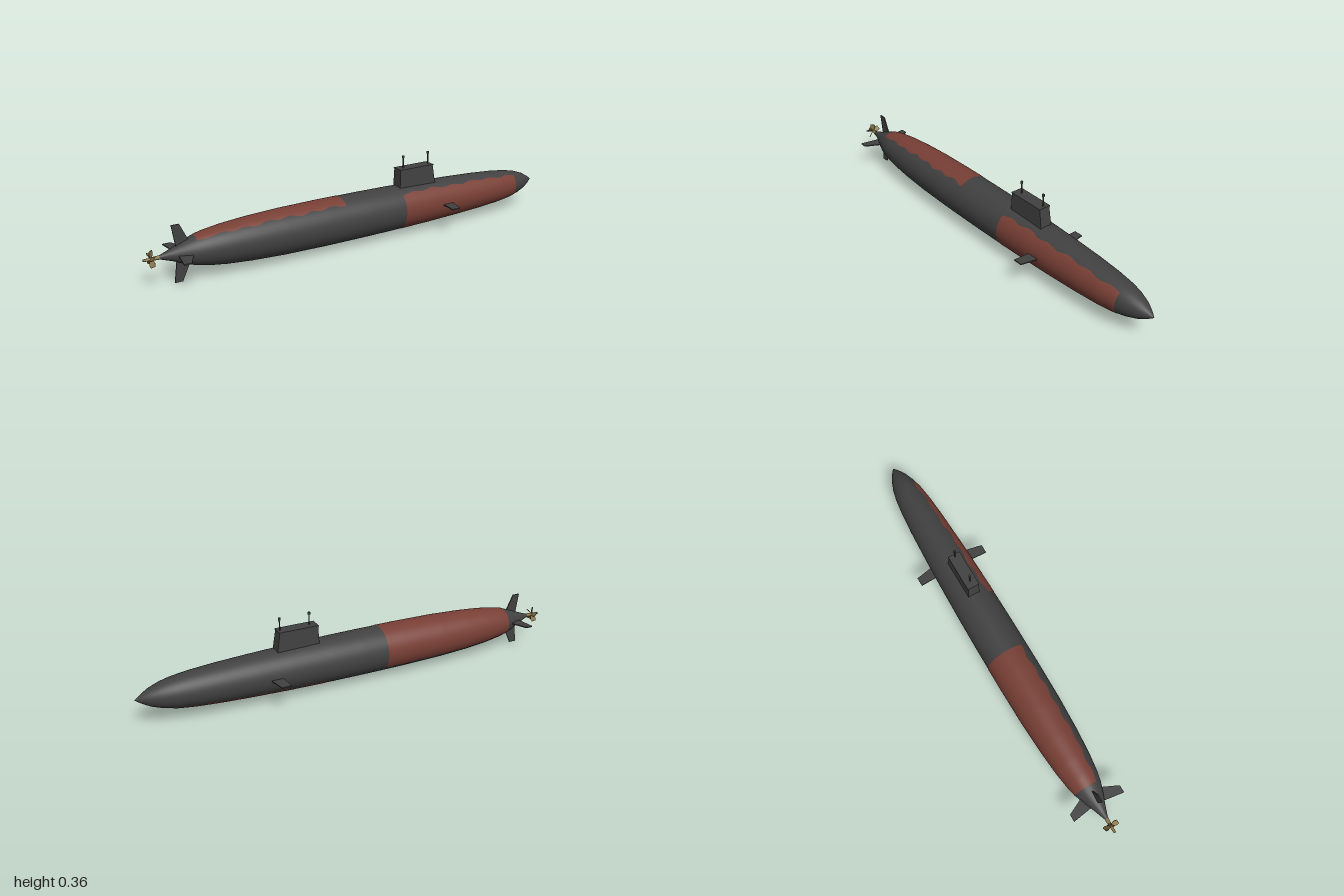
import * as THREE from 'three';

const AXIS_Y = 0.124;

// Hull profile: [x, radius] from stern to bow
const PROFILE = [
  [-0.95, 0.006], [-0.93, 0.009], [-0.88, 0.027], [-0.84, 0.044], [-0.79, 0.062], [-0.74, 0.073],
  [-0.66, 0.084], [-0.55, 0.093], [-0.4, 0.1], [-0.2, 0.103], [0, 0.103], [0.15, 0.1015],
  [0.35, 0.097], [0.5, 0.092], [0.65, 0.085], [0.76, 0.077], [0.84, 0.067], [0.89, 0.056],
  [0.94, 0.038], [0.975, 0.018], [1, 0],
];

function radiusAt(x) {
  let i = 1;
  while (i < PROFILE.length - 1 && PROFILE[i][0] < x) i++;
  const [x0, r0] = PROFILE[i - 1];
  const [x1, r1] = PROFILE[i];
  return r0 + ((r1 - r0) * (x - x0)) / (x1 - x0);
}

// Thin painted skin following the hull, with wavy long edges (angles in degrees from +z towards +y)
function hullSkin(x0, x1, a0, a1) {
  const nx = 68, na = 40, pos = [], idx = [];
  for (let i = 0; i <= nx; i++) {
    const x = x0 + ((x1 - x0) * i) / nx;
    const r = radiusAt(x) + 0.0012;
    const lo = a0 + 3 * Math.sin(x * 62) + 1.5 * Math.sin(x * 25);
    const hi = a1 + 3 * Math.sin(x * 55 + 1) + 1.5 * Math.sin(x * 23);
    for (let j = 0; j <= na; j++) {
      const a = THREE.MathUtils.degToRad(lo + ((hi - lo) * j) / na);
      pos.push(x, AXIS_Y + r * Math.sin(a), r * Math.cos(a));
      if (i < nx && j < na) {
        const p = i * (na + 1) + j, q = p + na + 1;
        idx.push(p, q, p + 1, q, q + 1, p + 1);
      }
    }
  }
  const g = new THREE.BufferGeometry();
  g.setAttribute('position', new THREE.Float32BufferAttribute(pos, 3));
  g.setIndex(idx);
  g.computeVertexNormals();
  return g;
}

// Flat plate from a list of x, y corners, centred on z = 0
function plate(corners, depth) {
  const shape = new THREE.Shape(corners.map(([x, y]) => new THREE.Vector2(x, y)));
  return new THREE.ExtrudeGeometry(shape, { depth, bevelEnabled: false }).translate(0, 0, -depth / 2);
}

export function createModel() {
  const model = new THREE.Group();
  const material = (name, color) => {
    const m = new THREE.MeshStandardMaterial({ color });
    m.name = name;
    return m;
  };
  const dark = material('dark grey', 0x414141);
  const red = material('rust red', 0x783f35);
  const brass = material('brass', 0x8a7548);

  const add = (name, geometry, mat, parent = model) => {
    const mesh = new THREE.Mesh(geometry, mat);
    mesh.name = name;
    parent.add(mesh);
    return mesh;
  };

  // Hull
  const hull = new THREE.LatheGeometry(PROFILE.map(([x, r]) => new THREE.Vector2(r, x)), 48);
  add('hull', hull.rotateZ(-Math.PI / 2).translate(0, AXIS_Y, 0), dark);

  // Painted areas
  add('forwardPaint', hullSkin(0.185, 0.855, -138, 53), red);
  add('aftPaint', hullSkin(-0.785, -0.11, 54, 219), red);

  // Sail, slightly narrower towards the top
  const sail = plate([[0.193, 0.19], [0.392, 0.19], [0.374, 0.302], [0.197, 0.302]], 0.058);
  const p = sail.attributes.position;
  for (let i = 0; i < p.count; i++) if (p.getY(i) > 0.25) p.setZ(i, p.getZ(i) * 0.88);
  sail.computeVertexNormals();
  add('sail', sail, dark);
  add('sailCap', new THREE.BoxGeometry(0.181, 0.004, 0.057).translate(0.286, 0.303, 0), dark);

  // Masts
  for (const x of [0.228, 0.364]) {
    const mast = new THREE.Group();
    mast.name = 'mast';
    mast.position.set(x, 0.302, 0);
    model.add(mast);
    add('mastPole', new THREE.CylinderGeometry(0.003, 0.003, 0.054, 8).translate(0, 0.027, 0), dark, mast);
    add('mastHead', new THREE.CylinderGeometry(0.006, 0.006, 0.01, 10).translate(0, 0.055, 0), dark, mast);
  }

  // Bow planes
  const bowPlane = plate([[0.392, 0.08], [0.448, 0.08], [0.43, 0.17], [0.388, 0.17]], 0.005);
  for (const side of [1, -1]) {
    const plane = add(side > 0 ? 'rightBowPlane' : 'leftBowPlane', bowPlane, dark);
    plane.position.y = AXIS_Y;
    plane.rotation.x = (side * Math.PI) / 2;
  }

  // Cross of four stern fins
  const sternFin = plate([[-0.862, 0.02], [-0.795, 0.02], [-0.843, 0.124], [-0.877, 0.124]], 0.005);
  for (let i = 0; i < 4; i++) {
    const fin = add('sternFin', sternFin, dark);
    fin.position.y = AXIS_Y;
    fin.rotation.x = (i * Math.PI) / 2;
  }

  // Propeller with pitched blades
  const propeller = new THREE.Group();
  propeller.name = 'propeller';
  propeller.position.set(-0.967, AXIS_Y, 0);
  model.add(propeller);
  add('hub', new THREE.CylinderGeometry(0.009, 0.005, 0.066, 12).rotateZ(-Math.PI / 2), brass, propeller);
  const blade = plate([[-0.006, 0.004], [0.006, 0.004], [0.013, 0.022], [0.01, 0.035], [-0.01, 0.035], [-0.013, 0.022]], 0.003);
  blade.rotateY(0.7);
  for (let i = 0; i < 5; i++) add('blade', blade, brass, propeller).rotation.x = (i * Math.PI * 2) / 5;

  return model;
}
